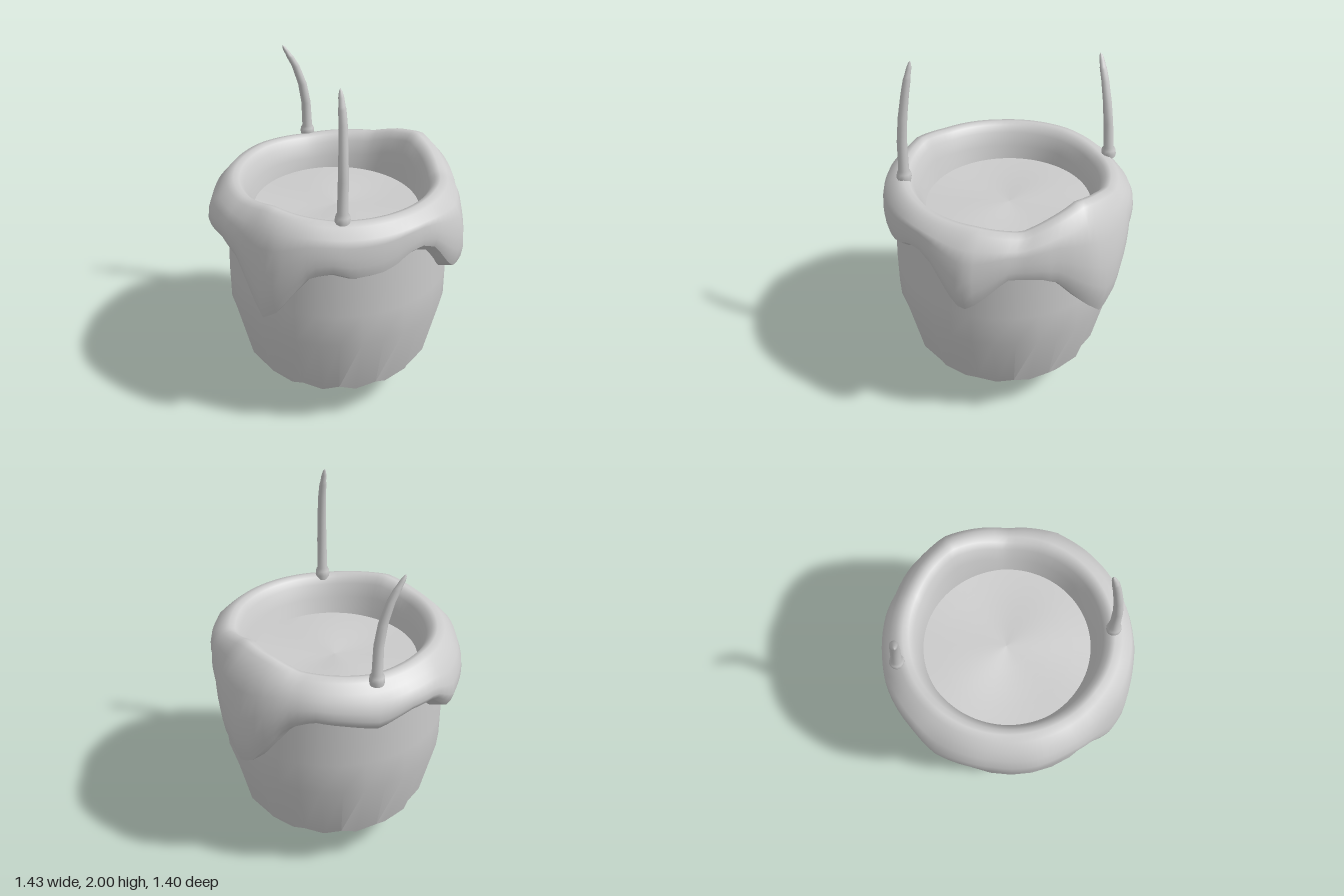
import * as THREE from 'three';
import { toCreasedNormals } from 'three/addons/utils/BufferGeometryUtils.js';

const V = (x, y, z) => new THREE.Vector3(x, y, z);

// Skin a list of closed rings (arrays of Vector3), ordered bottom to top on the outside
function loft(rings) {
  const n = rings[0].length, idx = [];
  const pos = rings.flat().flatMap(p => [p.x, p.y, p.z]);
  for (let i = 0; i < rings.length - 1; i++) {
    for (let j = 0; j < n; j++) {
      const k = (j + 1) % n, a = i * n + j, b = i * n + k;
      idx.push(a, a + n, b, b, a + n, b + n);
    }
  }
  const g = new THREE.BufferGeometry();
  g.setAttribute('position', new THREE.Float32BufferAttribute(pos, 3));
  g.setIndex(idx);
  g.computeVertexNormals();
  return g;
}

// Ring around a centre; fn(angle in degrees, index) gives [radius, height]
function ring(n, cx, cz, fn) {
  return Array.from({ length: n }, (_, j) => {
    const a = j / n * Math.PI * 2;
    const [r, y] = fn(j / n * 360, j);
    return V(cx + r * Math.cos(a), y, cz + r * Math.sin(a));
  });
}

// Periodic interpolation of [degrees, value] pairs (0 = +x, 90 = +z)
function around(keys) {
  const first = keys[0], last = keys[keys.length - 1];
  const k = [[last[0] - 360, last[1]], ...keys, [first[0] + 360, first[1]]];
  return deg => {
    const i = k.findIndex(key => deg <= key[0]);
    return THREE.MathUtils.mapLinear(deg, k[i - 1][0], k[i][0], k[i - 1][1], k[i][1]);
  };
}

const outerR = around([[0, .71], [12, .67], [25, .64], [38, .64], [59, .655], [81, .67], [98, .70],
  [116, .69], [134, .70], [147, .715], [165, .71], [192, .73], [206, .72], [230, .715], [245, .705],
  [270, .695], [284, .72], [294, .73], [304, .72], [318, .67], [337, .65], [350, .68]]);
const dripY = around([[2, .875], [8, .93], [18, 1.06], [27, 1.1], [35, 1.09], [42, 1.05], [49, 1.03], [62, 1.02],
  [72, 1.05], [82, 1.02], [89, .93], [97, .81], [105, .75], [111, .84], [120, 1.0], [131, 1.05],
  [145, 1.03], [157, .98], [175, 1.0], [192, .96], [204, 1.07], [218, 1.07], [232, 1.02], [246, 1.05],
  [260, 1.07], [272, 1.02], [282, .88], [289, .785], [296, .75], [306, .85], [318, 1.0], [327, 1.04],
  [342, 1.05], [355, .92]]);
const crestY = around([[0, 1.33], [40, 1.33], [70, 1.33], [90, 1.345], [105, 1.36], [125, 1.33], [160, 1.32],
  [200, 1.325], [230, 1.31], [270, 1.335], [285, 1.38], [303, 1.415], [318, 1.37], [335, 1.31]]);

export function createModel() {
  const model = new THREE.Group();
  const add = (name, geometry, side = THREE.FrontSide) => {
    const mesh = new THREE.Mesh(geometry, new THREE.MeshStandardMaterial({ color: 0xcccccc, side }));
    mesh.name = name;
    model.add(mesh);
  };

  // Cup: straight wall narrowing to a zigzag edge
  const N = 32, cx = -.01;
  const zigzag = ring(N, cx, 0, (d, j) => j % 2 ? [.47, .212] : [.525, .28]);
  const shoulder = ring(N, cx, 0, () => [.608, .62]);
  add('cupWall', toCreasedNormals(loft([
    zigzag, shoulder, ring(N, cx, 0, () => [.61, .8]), ring(N, cx, 0, () => [.602, 1.17]),
  ]), .7), THREE.DoubleSide);

  // Pointed underside meeting the zigzag
  add('cupBase', loft([ring(N, cx, 0, () => [0, .005]), zigzag]));

  // Dripping rim: bulging outside, flat crest, steep inner wall
  const M = 96;
  const outside = (t, bulge) => ring(M, 0, 0, d => {
    // the lower edge is thickest between the drips and thin at their tips
    const y0 = dripY(d) + THREE.MathUtils.mapLinear(dripY(d), .75, 1.05, .005, .045);
    const y1 = crestY(d) - .04;
    return [.625 + (outerR(d) - .625) * bulge, y0 + (y1 - y0) * t];
  });
  const inner = (r, drop) => ring(M, -.015, -.01, d => [r, crestY(d) - drop]);
  const lowerEdge = outside(0, .65);
  add('drippingRim', loft([
    lowerEdge, outside(.12, .88), outside(.28, 1), outside(.5, .95), outside(.75, .7), outside(.92, .32),
    inner(.6, .012), inner(.56, 0), inner(.53, .01), inner(.503, .045), inner(.475, .12),
    ring(M, -.025, -.02, () => [.45, 1.1]),
  ]));

  // Sharp-edged underside of the drips
  add('dripUnderside', loft([ring(M, cx, 0, d => [.59, dripY(d)]), lowerEdge]));

  // Slightly uneven filling inside the rim
  add('filling', loft([.47, .36, .24, .12, 0].map(r =>
    ring(48, -.025, -.02, d => [r, 1.125 + .01 * Math.sin(r * 6.5) * Math.sin(d * Math.PI / 90)]))));

  // Bent tapering stalks with a bulb at the foot and a pointed tip
  const taper = [[0, .036], [.04, .041], [.075, .038], [.1, .029], [.35, .027], [.55, .025],
    [.75, .022], [.86, .02], [.88, .017], [.94, .014], [.98, .008], [1, 0]];
  const stalk = (name, points) => {
    const curve = new THREE.CatmullRomCurve3(points);
    add(name, loft(taper.map(([t, r]) => {
      const c = curve.getPointAt(t);
      return ring(12, c.x, c.z, () => [r, c.y]);
    })));
  };
  stalk('frontStalk', [V(.21, 1.305, .495), V(.212, 1.6, .49), V(.198, 1.85, .46), V(.175, 2, .435)]);
  stalk('backStalk', [V(-.39, 1.29, -.49), V(-.39, 1.5, -.475), V(-.42, 1.69, -.445), V(-.49, 1.86, -.39)]);

  return model;
}
